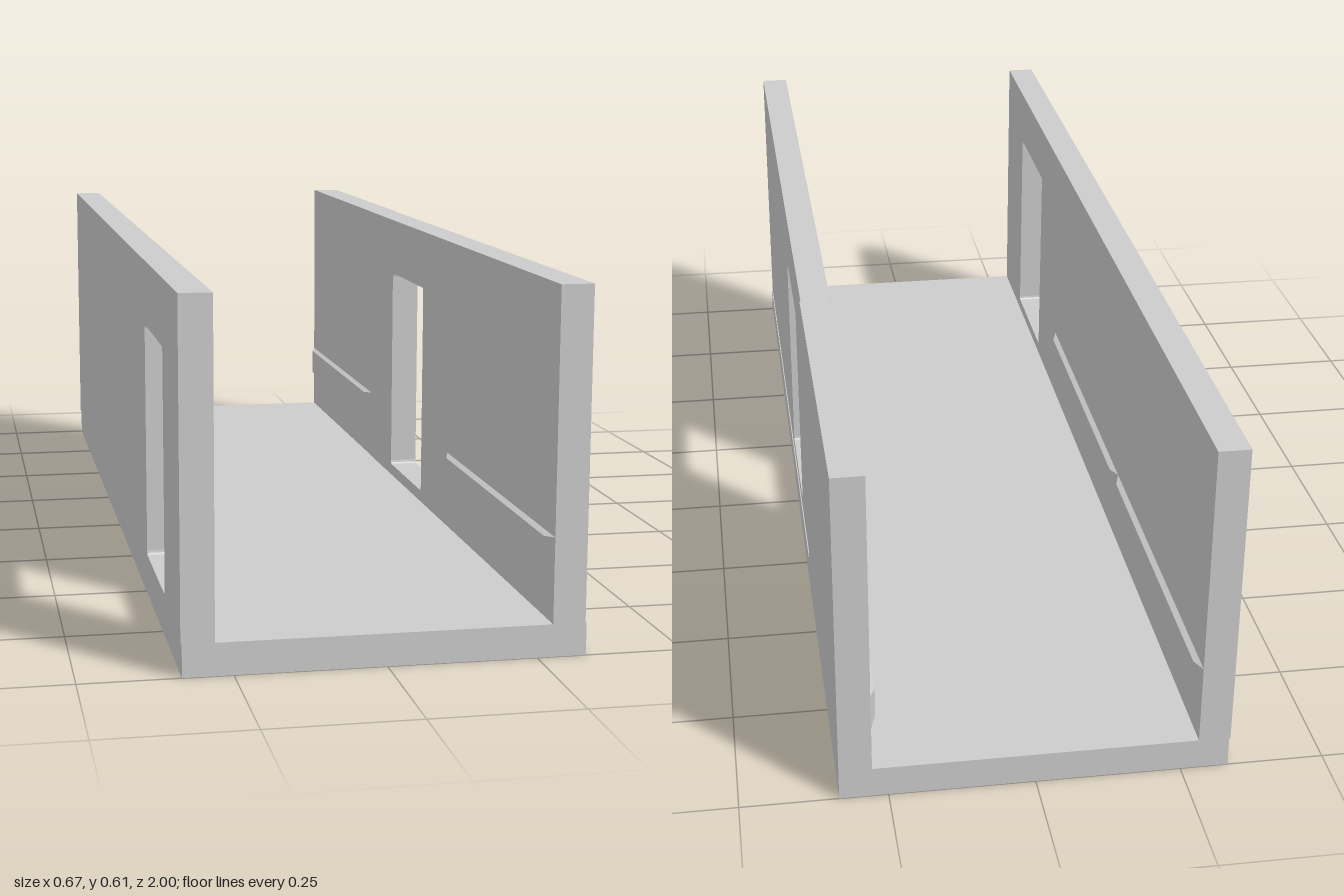
import * as THREE from 'three';

const material = new THREE.MeshStandardMaterial({ color: 0xcccccc });
const FLOOR = 0.055, TOP = 0.612, PANEL = 2 / 3;

// Wall panel drawn in (z, y), extruded through the wall thickness, optionally with a window
function makePanel(xMin, xMax, zMid, hasWindow) {
  const z0 = zMid - PANEL / 2, z1 = zMid + PANEL / 2;
  const shape = new THREE.Shape();
  shape.moveTo(z0, FLOOR).lineTo(z1, FLOOR).lineTo(z1, TOP).lineTo(z0, TOP).closePath();
  if (hasWindow) {
    const a = zMid - 0.131, b = zMid + 0.131, lo = 0.078, hi = 0.498, r = 0.008;
    const hole = new THREE.Path();
    hole.moveTo(a + r, lo).lineTo(b - r, lo).quadraticCurveTo(b, lo, b, lo + r);
    hole.lineTo(b, hi - r).quadraticCurveTo(b, hi, b - r, hi);
    hole.lineTo(a + r, hi).quadraticCurveTo(a, hi, a, hi - r);
    hole.lineTo(a, lo + r).quadraticCurveTo(a, lo, a + r, lo);
    shape.holes.push(hole);
  }
  const geo = new THREE.ExtrudeGeometry(shape, { depth: xMax - xMin, bevelEnabled: false, curveSegments: 3 });
  geo.rotateY(-Math.PI / 2);
  geo.translate(xMax, 0, 0);
  const mesh = new THREE.Mesh(geo, material);
  mesh.name = hasWindow ? 'windowPanel' : 'wallPanel';
  return mesh;
}

// Low rail whose projecting face is narrower and shorter than its base; dir points into the channel
function makeRail(xWall, dir, zMid) {
  const depth = 0.01;
  const geo = new THREE.BoxGeometry(depth, 0.063, PANEL).toNonIndexed();
  const p = geo.attributes.position;
  for (let i = 0; i < p.count; i++) {
    if (p.getX(i) * dir > 0) {
      p.setY(i, p.getY(i) * 0.87);
      p.setZ(i, p.getZ(i) - Math.sign(p.getZ(i)) * 0.03);
    }
  }
  geo.computeVertexNormals();
  const mesh = new THREE.Mesh(geo, material);
  mesh.name = 'rail';
  mesh.position.set(xWall + dir * depth / 2, 0.169, zMid);
  return mesh;
}

// Wall of three panels, running back to front; panels without a window carry a rail
function makeWall(name, xRanges, dir, windowIndex) {
  const wall = new THREE.Group();
  wall.name = name;
  xRanges.forEach(([xMin, xMax], i) => {
    const zMid = (i - 1) * PANEL;
    wall.add(makePanel(xMin, xMax, zMid, i === windowIndex));
    if (i !== windowIndex) wall.add(makeRail(dir > 0 ? xMax : xMin, dir, zMid));
  });
  return wall;
}

export function createModel() {
  const model = new THREE.Group();
  model.name = 'corridor';

  // Floor slab
  const floor = new THREE.Mesh(new THREE.BoxGeometry(0.666, FLOOR, 2), material);
  floor.name = 'floor';
  floor.position.y = FLOOR / 2;
  model.add(floor);

  // Left wall: window in the middle, rear panel standing slightly proud
  model.add(makeWall('leftWall', [[0.277, 0.333], [0.276, 0.331], [0.276, 0.331]], -1, 1));
  // Right wall: window in the front panel
  const right = [-0.335, -0.28];
  model.add(makeWall('rightWall', [right, right, right], 1, 2));

  return model;
}
